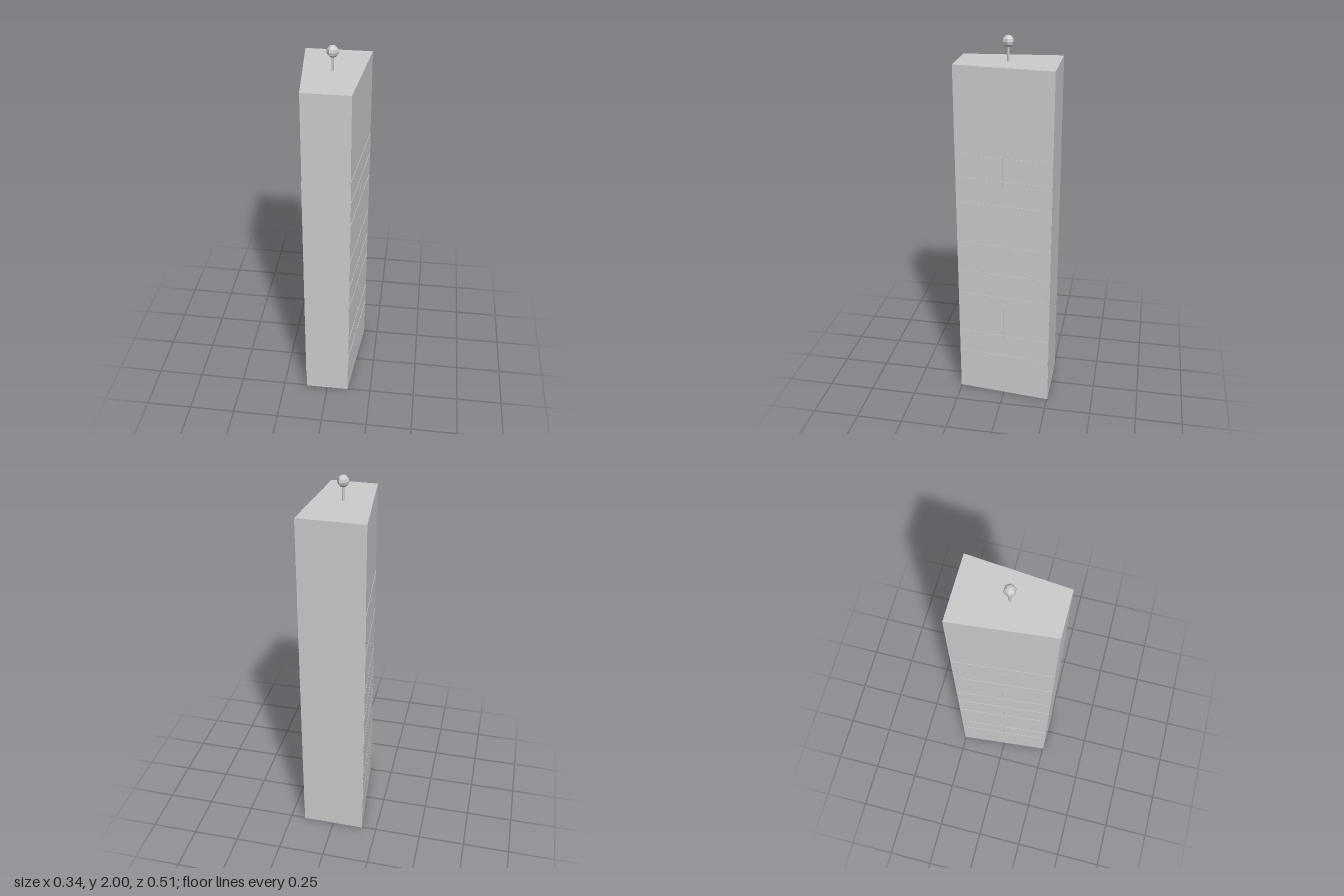
import * as THREE from 'three';

const HEIGHT = 1.873, HALF_DEPTH = 0.254, FRONT = 0.119, BACK = 0.169;

// Tapered shell, open underneath
function shellGeometry() {
  const plan = [[-FRONT, HALF_DEPTH], [FRONT, HALF_DEPTH], [BACK, -HALF_DEPTH], [-BACK, -HALF_DEPTH]];
  const positions = [];
  const quad = (a, b, c, d) => positions.push(...a, ...b, ...c, ...a, ...c, ...d);
  const at = (i, y) => [plan[i % 4][0], y, plan[i % 4][1]];
  for (let i = 0; i < 4; i++) quad(at(i, 0), at(i + 1, 0), at(i + 1, HEIGHT), at(i, HEIGHT));
  quad(at(0, HEIGHT), at(1, HEIGHT), at(2, HEIGHT), at(3, HEIGHT));
  const geometry = new THREE.BufferGeometry();
  geometry.setAttribute('position', new THREE.Float32BufferAttribute(positions, 3));
  geometry.computeVertexNormals();
  return geometry;
}

// Rows of cladding: [bottom, top, split in two]
const LEFT_ROWS = [
  [0.12, 0.25, false], [0.26, 0.38, true], [0.39, 0.62, true], [0.63, 0.76, true],
  [0.77, 0.93, false], [0.94, 1.16, false], [1.17, 1.295, true], [1.305, 1.418, true],
];
const RIGHT_ROWS = [
  [0.12, 0.25, true], [0.26, 0.38, true], [0.39, 0.62, false], [0.63, 0.785, true],
  [0.795, 0.93, true], [0.94, 1.165, true], [1.175, 1.397, true],
];

// Thin panels lying along one slanted side wall
function sidePanels(name, side, rows, material) {
  const group = new THREE.Group();
  group.name = name;
  const length = Math.hypot(BACK - FRONT, 2 * HALF_DEPTH) - 0.004;
  const seam = 0.004;
  for (const [bottom, top, split] of rows) {
    const width = split ? (length - seam) / 2 : length;
    const centres = split ? [-(width + seam) / 2, (width + seam) / 2] : [0];
    for (const z of centres) {
      const panel = new THREE.Mesh(new THREE.BoxGeometry(0.004, top - bottom, width), material);
      panel.name = 'claddingPanel';
      panel.position.set(0, (bottom + top) / 2, z);
      group.add(panel);
    }
  }
  group.position.x = side * (FRONT + BACK) / 2;
  group.rotation.y = -side * Math.atan2(BACK - FRONT, 2 * HALF_DEPTH);
  return group;
}

export function createModel() {
  const grey = new THREE.MeshStandardMaterial({ color: 0xcccccc, flatShading: true, side: THREE.DoubleSide });
  grey.name = 'light grey';
  const model = new THREE.Group();
  model.name = 'tower';

  const shell = new THREE.Mesh(shellGeometry(), grey);
  shell.name = 'towerShell';
  model.add(shell);

  model.add(sidePanels('leftPanels', 1, LEFT_ROWS, grey));
  model.add(sidePanels('rightPanels', -1, RIGHT_ROWS, grey));

  // Roof mast with a ball on top
  const mast = new THREE.Mesh(new THREE.CylinderGeometry(0.006, 0.006, 0.08, 6), grey);
  mast.name = 'mast';
  mast.position.y = HEIGHT + 0.04;
  const ball = new THREE.Mesh(new THREE.SphereGeometry(0.03, 6, 6), grey);
  ball.name = 'mastBall';
  ball.position.y = 1.97;
  model.add(mast, ball);

  return model;
}
